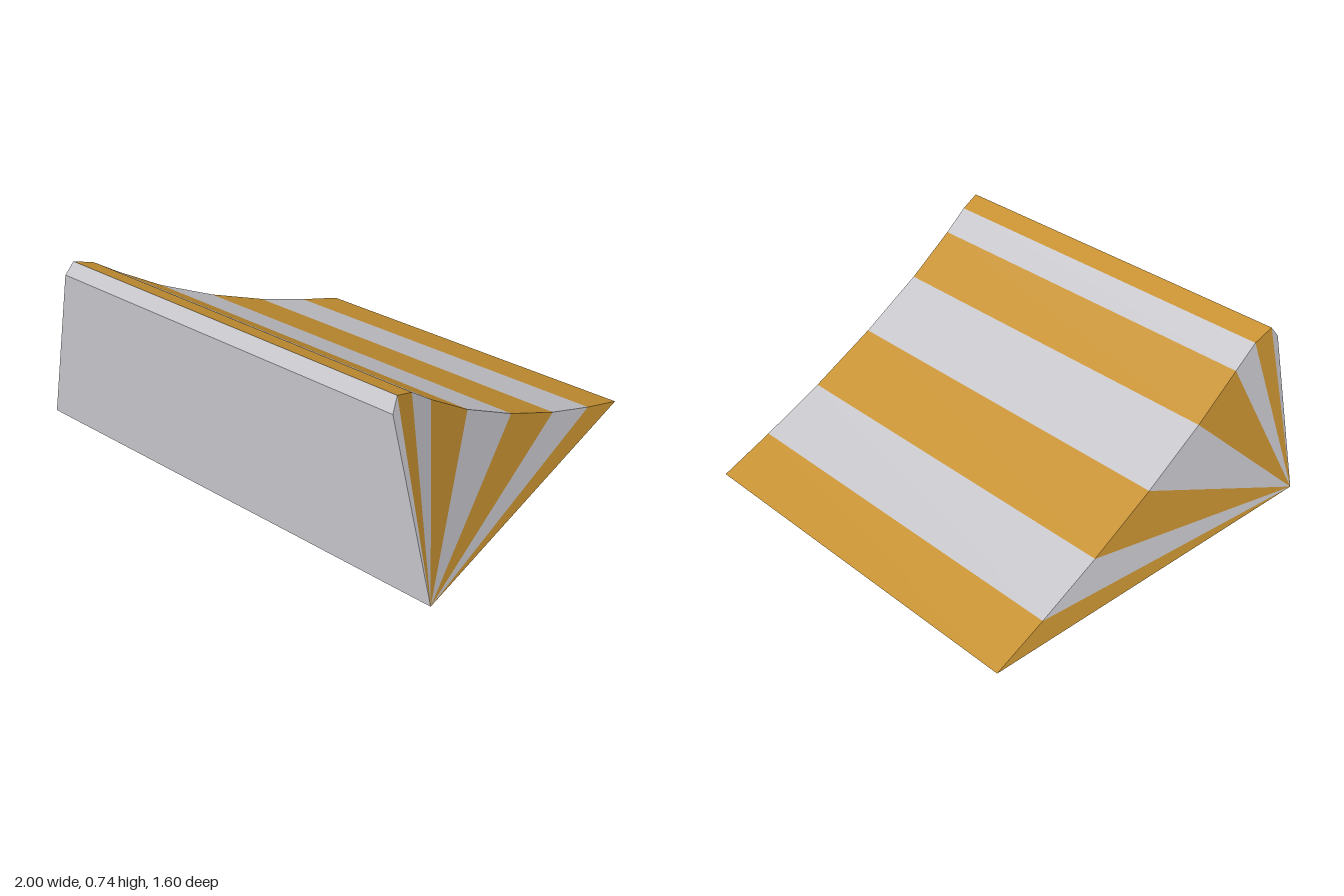
import * as THREE from 'three';

// Ridge profile from the rear edge to the front edge: [half width, y, z]
const PROFILE = [
  [0.8, 0, -0.8], [0.8, 0.083, -0.557], [0.8, 0.193, -0.267], [0.8, 0.332, 0.045],
  [0.8, 0.486, 0.338], [0.8, 0.628, 0.56], [0.803, 0.707, 0.672], [0.813, 0.74, 0.763],
  [0.825, 0.69, 0.8],
];
const APEX = [1, 0, 0.8]; // front bottom corner where each side fan meets

// Flat convex polygons, corners counter-clockwise from outside
function facets(name, polygons, material) {
  const points = [];
  for (const poly of polygons) {
    for (let i = 1; i < poly.length - 1; i++) points.push(...poly[0], ...poly[i], ...poly[i + 1]);
  }
  const geometry = new THREE.BufferGeometry();
  geometry.setAttribute('position', new THREE.Float32BufferAttribute(points, 3));
  geometry.computeVertexNormals();
  const mesh = new THREE.Mesh(geometry, material);
  mesh.name = name;
  return mesh;
}

const mirror = ([x, y, z]) => [-x, y, z];

export function createModel() {
  const grey = new THREE.MeshStandardMaterial({ color: 0xc5c4c9 });
  grey.name = 'light grey';
  const amber = new THREE.MeshStandardMaterial({ color: 0xc69131 });
  amber.name = 'amber';

  const group = new THREE.Group();
  group.name = 'stripedWedge';

  // Alternating bands across the slope, each continuing into both side fans
  for (let i = 0; i < PROFILE.length - 1; i++) {
    const a = PROFILE[i], b = PROFILE[i + 1];
    const material = i % 2 ? grey : amber;
    group.add(
      facets(`slopeBand${i + 1}`, [[mirror(a), mirror(b), b, a]], material),
      facets(`leftFan${i + 1}`, [[APEX, a, b]], material),
      facets(`rightFan${i + 1}`, [[mirror(APEX), mirror(b), mirror(a)]], material),
    );
  }

  // Plain front wall and underside
  const rear = PROFILE[0], lip = PROFILE[PROFILE.length - 1];
  group.add(
    facets('frontWall', [[mirror(APEX), APEX, lip, mirror(lip)]], grey),
    facets('underside', [[mirror(APEX), mirror(rear), rear, APEX]], grey),
  );
  return group;
}
